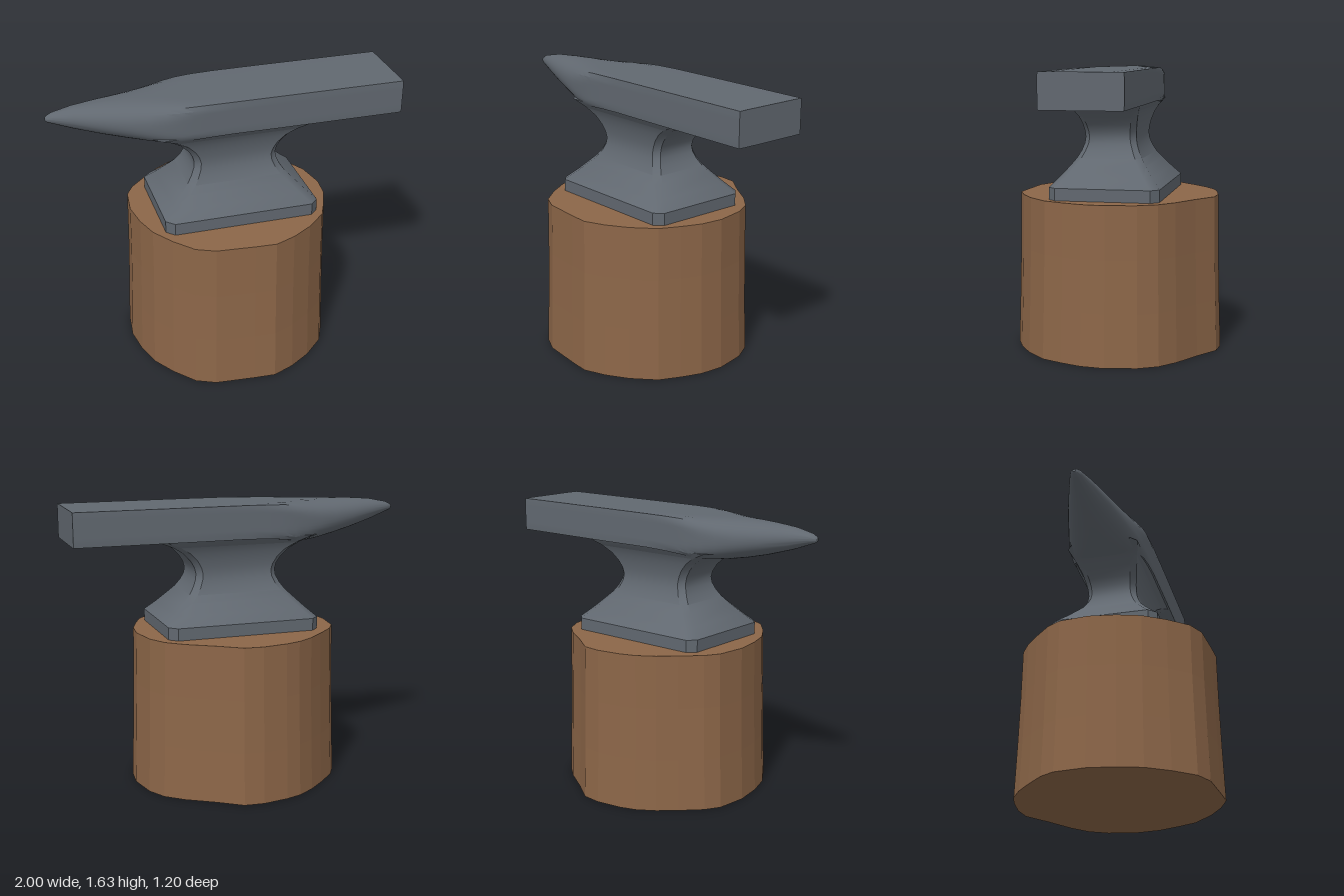
import * as THREE from 'three';
import { toCreasedNormals } from 'three/addons/utils/BufferGeometryUtils.js';

// Skin a list of rings (counter-clockwise about the loft direction) and cap both ends.
function loft(rings, crease) {
  const pos = [];
  const tri = (...pts) => pts.forEach((p) => pos.push(p.x, p.y, p.z));
  const n = rings[0].length;
  for (let r = 0; r < rings.length - 1; r++) {
    const a = rings[r], b = rings[r + 1];
    for (let i = 0; i < n; i++) {
      const j = (i + 1) % n;
      tri(a[i], a[j], b[j]);
      tri(a[i], b[j], b[i]);
    }
  }
  const centre = (ring) => ring.reduce((s, p) => s.add(p), new THREE.Vector3()).divideScalar(n);
  const first = rings[0], last = rings[rings.length - 1];
  const c0 = centre(first), c1 = centre(last);
  for (let i = 0; i < n; i++) {
    const j = (i + 1) % n;
    tri(c0, first[j], first[i]);
    tri(c1, last[i], last[j]);
  }
  const geo = new THREE.BufferGeometry();
  geo.setAttribute('position', new THREE.Float32BufferAttribute(pos, 3));
  geo.computeVertexNormals();
  return crease ? toCreasedNormals(geo, crease) : geo;
}

// Rectangle with cut corners at height y; half sizes hx, hz.
function cutRect(y, hx, hz, cx, cz) {
  const corners = [
    [hx, hz - cz], [hx, cz - hz], [hx - cx, -hz], [cx - hx, -hz],
    [-hx, cz - hz], [-hx, hz - cz], [cx - hx, hz], [hx - cx, hz],
  ];
  return corners.map(([x, z]) => new THREE.Vector3(0.04 + x, y, 0.012 + z));
}

// Superellipse section across x; the exponent runs from round (2) to square.
function barSection([x, bottom, top, halfWidth, power]) {
  const ring = [];
  for (let i = 0; i < 40; i++) {
    const t = (i / 40) * Math.PI * 2;
    const c = Math.cos(t), s = Math.sin(t);
    const k = Math.pow(Math.abs(c) ** power + Math.abs(s) ** power, -1 / power);
    ring.push(new THREE.Vector3(x, (bottom + top) / 2 + (c * k * (top - bottom)) / 2, 0.01 + s * k * halfWidth));
  }
  return ring;
}

export function createModel() {
  const model = new THREE.Group();
  const steel = new THREE.MeshStandardMaterial({ color: 0x616870 });
  steel.name = 'steel';
  const wood = new THREE.MeshStandardMaterial({ color: 0x8c6648 });
  wood.name = 'wood';
  const add = (name, geo, mat) => {
    const mesh = new THREE.Mesh(geo, mat);
    mesh.name = name;
    model.add(mesh);
  };

  // Irregular faceted stump, narrowing slightly towards the top
  const outline = [
    [0.04, -0.605], [0.155, -0.595], [0.29, -0.5], [0.445, -0.405], [0.545, -0.32],
    [0.605, -0.21], [0.64, -0.03], [0.625, 0.11], [0.58, 0.23], [0.525, 0.35],
    [0.405, 0.465], [0.28, 0.545], [0.155, 0.597], [0.03, 0.59], [-0.2, 0.57],
    [-0.31, 0.52], [-0.415, 0.4], [-0.5, 0.27], [-0.545, 0.13], [-0.57, -0.03],
    [-0.55, -0.21], [-0.5, -0.295], [-0.395, -0.4], [-0.3, -0.485], [-0.2, -0.55], [-0.11, -0.58],
  ].reverse();
  const stump = [[0, 1], [0.3, 0.983], [0.6, 0.97], [0.905, 0.963]].map(([y, s]) =>
    outline.map(([x, z]) => new THREE.Vector3(0.035 + (x - 0.035) * s, y, z * s)));
  add('stump', loft(stump), wood);

  // Foot plate with cut corners
  add('foot', loft([0.905, 0.975].map((y) => cutRect(y, 0.45, 0.315, 0.045, 0.045)), 0.5), steel);

  // Waisted body: height, half length, half depth, corner cuts
  const body = [
    [0.975, 0.45, 0.315, 0.045, 0.045], [1.03, 0.39, 0.265, 0.042, 0.042],
    [1.09, 0.33, 0.216, 0.04, 0.036], [1.13, 0.29, 0.187, 0.038, 0.032],
    [1.17, 0.262, 0.166, 0.036, 0.03], [1.21, 0.244, 0.152, 0.034, 0.03],
    [1.245, 0.24, 0.147, 0.034, 0.03], [1.28, 0.25, 0.149, 0.034, 0.03],
    [1.32, 0.275, 0.156, 0.036, 0.03], [1.365, 0.32, 0.168, 0.038, 0.03],
    [1.405, 0.385, 0.186, 0.04, 0.032], [1.445, 0.485, 0.212, 0.045, 0.036],
  ];
  add('body', loft(body.map((b) => cutRect(...b)), 0.6), steel);

  // Horn blending into the flat face bar: x, bottom, top, half width, squareness
  const bar = [
    [-1, 1.557, 1.573, 0.008, 2], [-0.99, 1.548, 1.583, 0.02, 2],
    [-0.96, 1.537, 1.597, 0.035, 2], [-0.85, 1.497, 1.619, 0.073, 2],
    [-0.7, 1.453, 1.631, 0.122, 2.1], [-0.57, 1.423, 1.635, 0.16, 2.3],
    [-0.46, 1.405, 1.635, 0.19, 2.8], [-0.37, 1.4, 1.635, 0.21, 3.8],
    [-0.29, 1.408, 1.635, 0.221, 6], [-0.22, 1.422, 1.635, 0.225, 10],
    [-0.13, 1.433, 1.635, 0.225, 20], [0, 1.44, 1.635, 0.225, 45],
    [0.3, 1.44, 1.635, 0.225, 80], [1, 1.44, 1.635, 0.225, 80],
  ];
  add('hornAndFace', loft(bar.map(barSection), 0.6), steel);

  return model;
}
